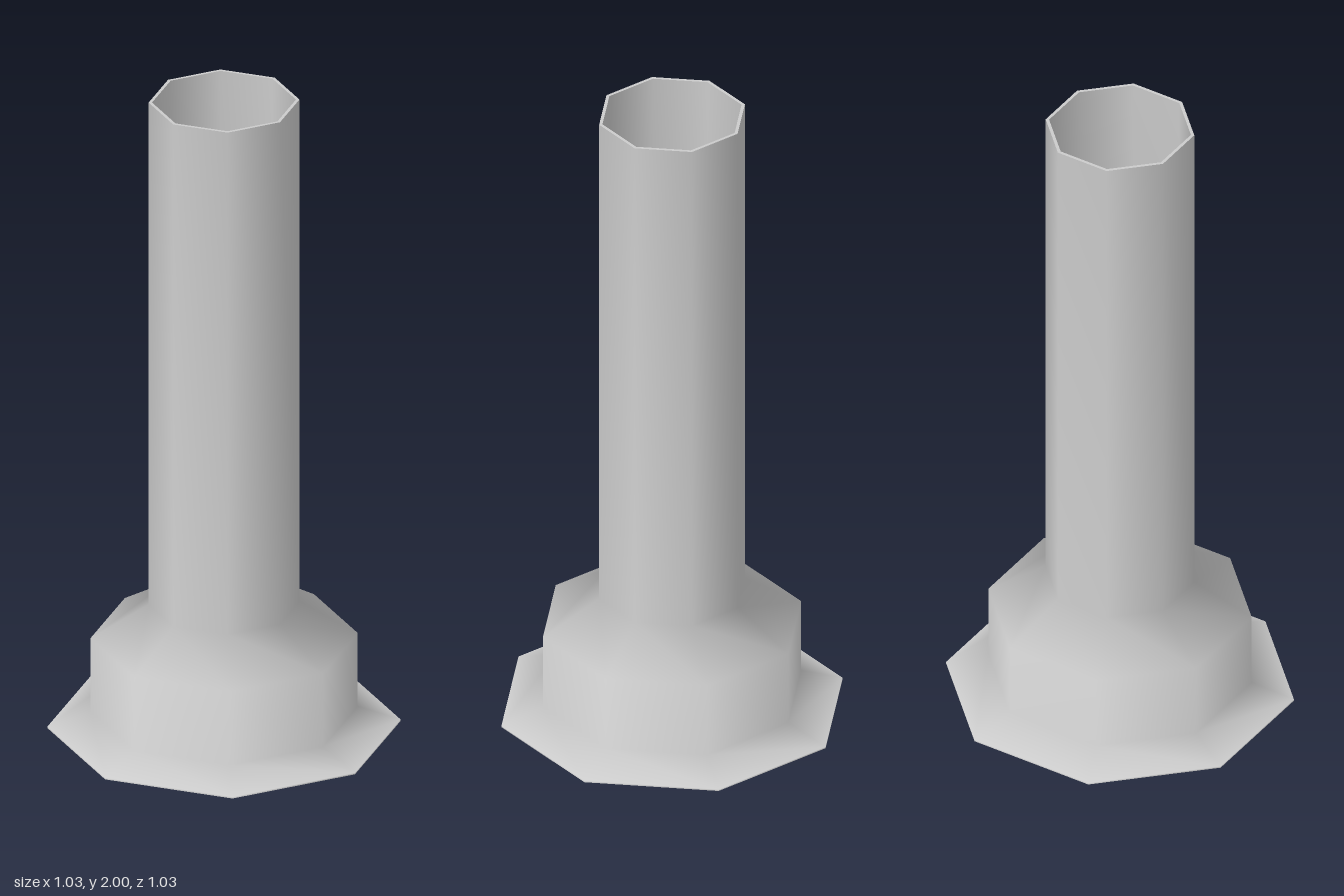
import * as THREE from 'three';

const SIDES = 8;
const TURN = 0.026; // slight twist of the octagon about the vertical axis

export function createModel() {
  const model = new THREE.Group();
  model.name = 'flangedPipe';
  const material = new THREE.MeshStandardMaterial({ color: 0xcccccc });

  // Revolve a profile of [radius, height] pairs into an eight-sided surface
  const revolve = (name, profile) => {
    const points = profile.map(([r, y]) => new THREE.Vector2(r, y));
    const mesh = new THREE.Mesh(new THREE.LatheGeometry(points, SIDES, TURN), material);
    mesh.name = name;
    model.add(mesh);
  };

  // Flared foot, collar, sloping shoulder and long pipe
  const outer = [[0.515, 0], [0.515, 0.005], [0.39, 0.05], [0.39, 0.285], [0.22, 0.39], [0.22, 2]];
  // Hollow inside follows the same steps, one wall thickness in
  const inner = [[0.21, 2], [0.21, 0.383], [0.38, 0.278], [0.38, 0.043], [0.5, 0]];

  revolve('outerWall', outer);
  revolve('innerWall', inner);
  revolve('topRim', [outer.at(-1), inner[0]]);
  revolve('footRim', [inner.at(-1), outer[0]]);

  return model;
}
